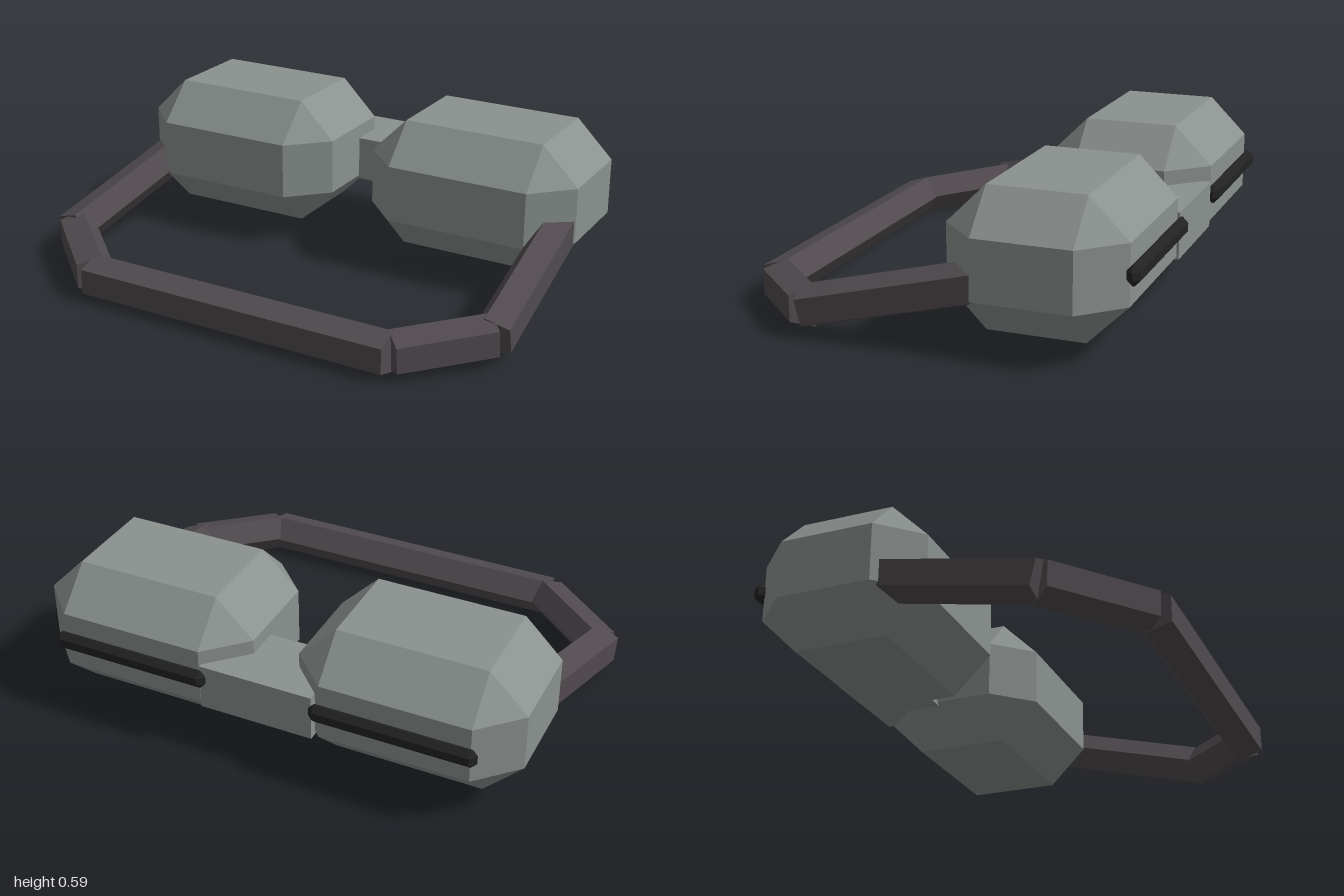
import * as THREE from 'three';
import { ConvexGeometry } from 'three/addons/geometries/ConvexGeometry.js';

const grey = new THREE.MeshStandardMaterial({ color: 0x8a918e });
grey.name = 'podGrey';
const brown = new THREE.MeshStandardMaterial({ color: 0x504a4e });
brown.name = 'strapBrown';
const black = new THREE.MeshStandardMaterial({ color: 0x222222 });
black.name = 'stripBlack';

function addMesh(group, name, geometry, material) {
  const mesh = new THREE.Mesh(geometry, material);
  mesh.name = name;
  group.add(mesh);
  return mesh;
}

// Box with all edges and corners cut off by c
function chamferBox(w, h, d, c) {
  const half = [w / 2, h / 2, d / 2];
  const points = [];
  for (let axis = 0; axis < 3; axis++) {
    for (const sx of [-1, 1]) for (const sy of [-1, 1]) for (const sz of [-1, 1]) {
      const sign = [sx, sy, sz];
      points.push(new THREE.Vector3(...half.map((v, i) => sign[i] * (i === axis ? v : v - c))));
    }
  }
  return new ConvexGeometry(points);
}

// Five-sided bar from a to b, one flat side facing outward
function strapBar(a, b) {
  const start = new THREE.Vector3(...a);
  const end = new THREE.Vector3(...b);
  const dir = end.clone().sub(start);
  const length = dir.length();
  dir.normalize();
  const inward = new THREE.Vector3(0, 1, 0).cross(dir).normalize();
  const side = dir.clone().cross(inward);
  const geometry = new THREE.CylinderGeometry(0.083, 0.083, length, 5).toNonIndexed();
  geometry.computeVertexNormals();
  const middle = start.add(end).multiplyScalar(0.5);
  return geometry.applyMatrix4(new THREE.Matrix4().makeBasis(side, dir, inward).setPosition(middle));
}

export function createModel() {
  const model = new THREE.Group();
  model.name = 'goggles';

  // Two chamfered pods, each with a thin dark strip on its back
  for (const [name, x, stripX] of [['right', -0.518, -0.517], ['left', 0.538, 0.537]]) {
    addMesh(model, name + 'Pod', chamferBox(0.87, 0.52, 0.66, 0.148), grey).position.set(x, 0.33, -0.397);
    addMesh(model, name + 'Strip', chamferBox(0.635, 0.075, 0.05, 0.022), black).position.set(stripX, 0.333, -0.74);
  }

  // Bridge between the pods
  addMesh(model, 'bridge', new THREE.BoxGeometry(0.45, 0.18, 0.29), grey).position.set(0.02, 0.295, -0.589);

  // Strap of five straight bars
  const bars = {
    rightArm: [[-0.85, 0.283, -0.3], [-0.932, 0.103, 0.415]],
    rightCorner: [[-0.93, 0.102, 0.4], [-0.615, 0.085, 0.688]],
    frontBar: [[-0.62, 0.083, 0.695], [0.663, 0.083, 0.695]],
    leftCorner: [[0.663, 0.085, 0.688], [0.928, 0.102, 0.427]],
    leftArm: [[0.929, 0.1, 0.435], [0.897, 0.283, -0.3]],
  };
  for (const [name, [a, b]] of Object.entries(bars)) addMesh(model, name, strapBar(a, b), brown);

  return model;
}
